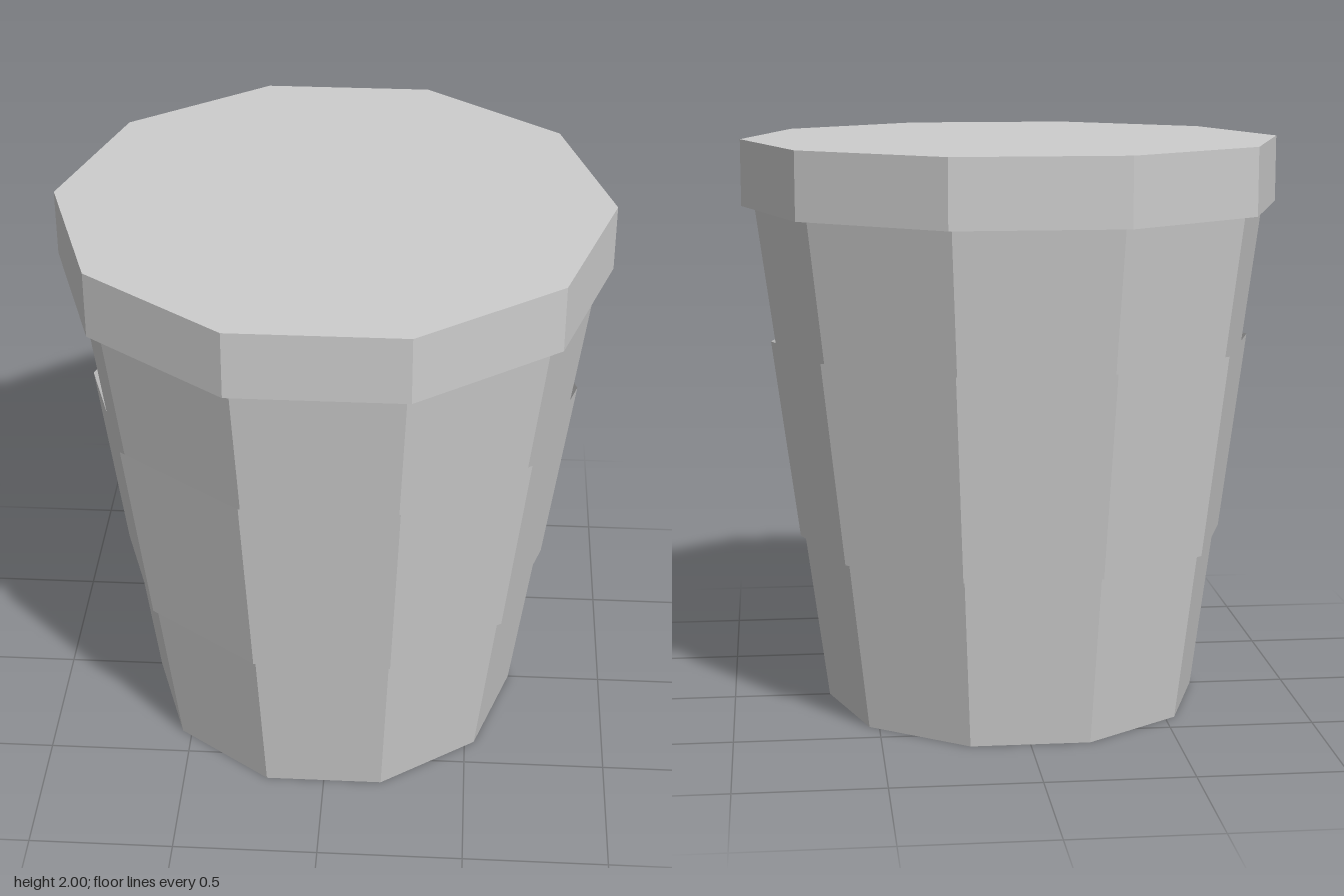
import * as THREE from 'three';

const SIDES = 10;

export function createModel() {
  const group = new THREE.Group();
  const grey = new THREE.MeshStandardMaterial({ color: 0xcccccc, flatShading: true, side: THREE.DoubleSide });
  grey.name = 'light grey';

  // Ten-sided tapered wall with a corner pointing along +x
  const addWall = (name, bottomR, topR, y0, y1) => {
    const geo = new THREE.CylinderGeometry(topR, bottomR, y1 - y0, SIDES, 1, true, Math.PI / 2);
    geo.translate(0, (y0 + y1) / 2, 0);
    const mesh = new THREE.Mesh(geo, grey);
    mesh.name = name;
    group.add(mesh);
  };

  // Flat ten-sided disc facing up (1) or down (-1)
  const addDisc = (name, radius, y, facing) => {
    const geo = new THREE.CircleGeometry(radius, SIDES);
    geo.rotateX(-facing * Math.PI / 2);
    geo.translate(0, y, 0);
    const mesh = new THREE.Mesh(geo, grey);
    mesh.name = name;
    group.add(mesh);
  };

  // Tapered cup
  addWall('cupWall', 0.66, 0.895, 0, 1.77);
  addDisc('cupBase', 0.66, 0, -1);

  // Sleeve standing slightly proud of the cup
  addWall('sleeve', 0.755, 0.847, 0.593, 1.295);

  // Lid: hollow skirt below a flat top
  addWall('lidSkirt', 0.94, 0.94, 1.77, 2);
  addDisc('lidTop', 0.94, 2, 1);

  return group;
}
